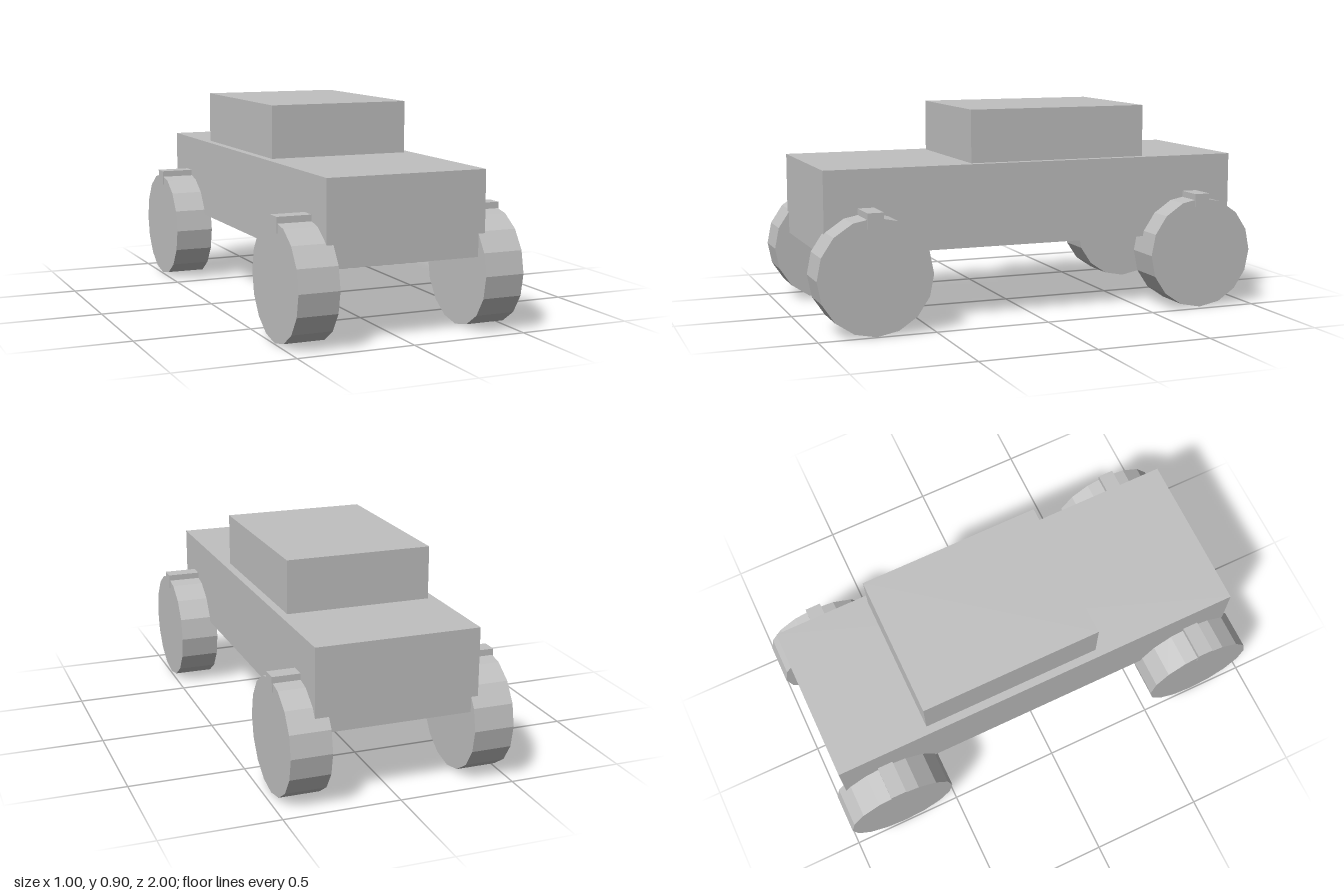
import * as THREE from 'three';

export function createModel() {
  const car = new THREE.Group();
  car.name = 'car';
  const grey = new THREE.MeshStandardMaterial({ color: 0xc0c0c0, flatShading: true });
  grey.name = 'plain grey';

  function add(parent, name, geometry, x, y, z) {
    const mesh = new THREE.Mesh(geometry, grey);
    mesh.name = name;
    mesh.position.set(x, y, z);
    parent.add(mesh);
    return mesh;
  }

  // Body and cabin
  add(car, 'body', new THREE.BoxGeometry(0.7, 0.357, 1.886), 0, 0.4985, -0.01);
  add(car, 'cabin', new THREE.BoxGeometry(0.63, 0.228, 0.81), 0, 0.791, -0.125);

  // Sixteen-sided wheels, each with a raised block across the top of the tread
  const tyre = new THREE.CylinderGeometry(0.246, 0.246, 0.174, 16).rotateZ(Math.PI / 2);
  const block = new THREE.BoxGeometry(0.182, 0.065, 0.07);
  const wheels = [
    ['frontLeftWheel', 0.407, 0.754],
    ['frontRightWheel', -0.407, 0.754],
    ['backLeftWheel', 0.379, -0.754], // sits slightly further in
    ['backRightWheel', -0.407, -0.754],
  ];
  for (const [name, x, z] of wheels) {
    const wheel = new THREE.Group();
    wheel.name = name;
    wheel.position.set(x, 0.249, z);
    add(wheel, 'tyre', tyre, 0, 0, 0);
    add(wheel, 'treadBlock', block, 0, 0.2335, 0);
    car.add(wheel);
  }
  return car;
}
